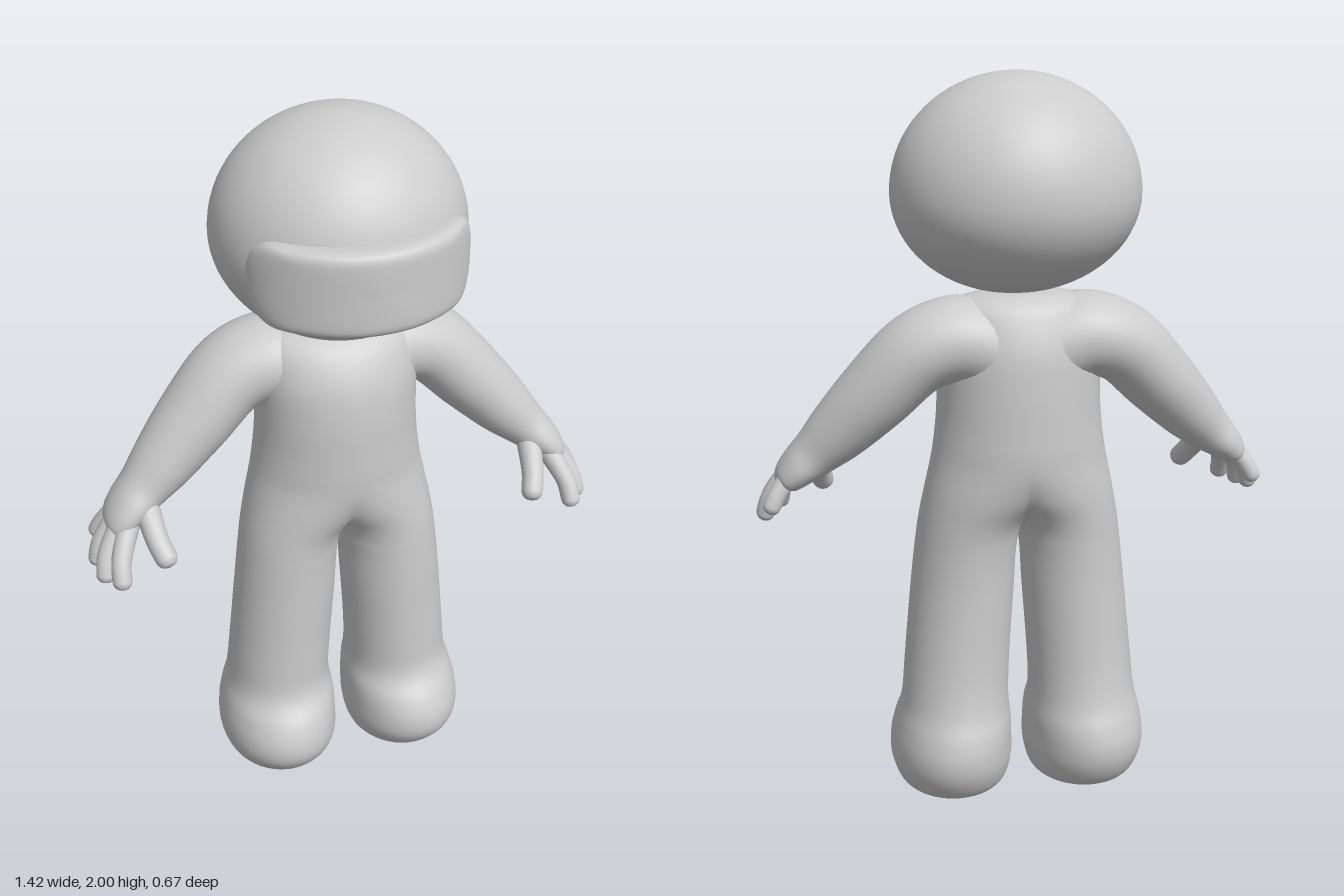
import * as THREE from 'three';

// Smooth surface from a (u, t) grid of points; t closes on itself or ends on the plane x = 0
function grid(nu, nt, point) {
  const pos = [], index = [], w = nt + 1;
  for (let i = 0; i <= nu; i++)
    for (let j = 0; j <= nt; j++) pos.push(...point(i / nu, j / nt));
  for (let i = 0; i < nu; i++)
    for (let j = 0; j < nt; j++) {
      const a = i * w + j, b = a + w;
      index.push(a, b, a + 1, b, b + 1, a + 1);
    }
  const g = new THREE.BufferGeometry();
  g.setAttribute('position', new THREE.Float32BufferAttribute(pos, 3));
  g.setIndex(index);
  g.computeVertexNormals();
  // Blend normals across the seam
  const p = g.attributes.position, n = g.attributes.normal;
  const A = new THREE.Vector3(), B = new THREE.Vector3();
  for (let i = 0; i <= nu; i++) {
    const a = i * w, b = a + nt;
    A.fromBufferAttribute(n, a);
    B.fromBufferAttribute(n, b);
    if (Math.abs(p.getZ(a) - p.getZ(b)) < 1e-4) {
      A.add(B).normalize();
      B.copy(A);
    } else {
      A.setX(0).normalize();
      B.setX(0).normalize();
    }
    n.setXYZ(a, A.x, A.y, A.z);
    n.setXYZ(b, B.x, B.y, B.z);
  }
  return g;
}

// Catmull-Rom interpolation of rows of numbers
function sample(rows, u) {
  const f = u * (rows.length - 1), i = Math.min(Math.floor(f), rows.length - 2), t = f - i;
  const at = k => rows[Math.max(0, Math.min(rows.length - 1, k))];
  return rows[0].map((_, c) => {
    const [p, q, r, s] = [at(i - 1)[c], at(i)[c], at(i + 1)[c], at(i + 2)[c]];
    return q + 0.5 * t * (r - p + t * (2 * p - 5 * q + 4 * r - s + t * (3 * (q - r) + s - p)));
  });
}

// Limb along a path; rows are x, y, z, thickness radius, width radius
function limb(rows, nu, nt) {
  const z = new THREE.Vector3(0, 0, 1);
  return grid(nu, nt, (u, v) => {
    const [x, y, cz, rn, rz] = sample(rows, u);
    const a = sample(rows, Math.max(0, u - 0.01)), b = sample(rows, Math.min(1, u + 0.01));
    const d = new THREE.Vector3(b[0] - a[0], b[1] - a[1], b[2] - a[2]).normalize();
    const s = z.clone().addScaledVector(d, -d.z).normalize();
    const n = d.clone().cross(s), t = v * Math.PI * 2;
    return new THREE.Vector3(x, y, cz)
      .addScaledVector(n, Math.max(rn, 0.0005) * Math.cos(t))
      .addScaledVector(s, Math.max(rz, 0.0005) * Math.sin(t)).toArray();
  });
}

function mirrored(geometry) {
  const g = geometry.clone(), p = g.attributes.position, n = g.attributes.normal, idx = g.index;
  for (let i = 0; i < p.count; i++) {
    p.setX(i, -p.getX(i));
    n.setX(i, -n.getX(i));
  }
  for (let i = 0; i < idx.count; i += 3) {
    const a = idx.getX(i);
    idx.setX(i, idx.getX(i + 1));
    idx.setX(i + 1, a);
  }
  return g;
}

export function createModel() {
  const model = new THREE.Group();
  model.name = 'figure';
  const grey = new THREE.MeshStandardMaterial({ color: 0xcccccc });
  grey.name = 'light grey';

  const add = (name, geometry) => {
    const mesh = new THREE.Mesh(geometry, grey);
    mesh.name = name;
    model.add(mesh);
  };
  const addPair = (name, geometry) => {
    add('left' + name, geometry);
    add('right' + name, mirrored(geometry));
  };

  // Half body from foot to neck: y, centre x, outer x, back z, front z
  const body = [
    [0, 0.19, 0.31, -0.14, 0.12], [0.03, 0.19, 0.343, -0.19, 0.165],
    [0.09, 0.193, 0.364, -0.228, 0.207], [0.15, 0.193, 0.364, -0.24, 0.212],
    [0.21, 0.188, 0.352, -0.23, 0.188], [0.28, 0.183, 0.334, -0.203, 0.138],
    [0.4, 0.175, 0.322, -0.185, 0.13], [0.6, 0.158, 0.302, -0.175, 0.13],
    [0.74, 0.145, 0.286, -0.177, 0.13], [0.82, 0.125, 0.274, -0.187, 0.132],
    [0.9, 0.07, 0.258, -0.21, 0.143], [1.0, 0, 0.237, -0.23, 0.155],
    [1.1, 0, 0.224, -0.23, 0.157], [1.2, 0, 0.22, -0.226, 0.155],
    [1.3, 0, 0.222, -0.215, 0.14], [1.38, 0, 0.212, -0.187, 0.1],
    [1.42, 0, 0.175, -0.16, 0.05], [1.44, 0, 0.1, -0.12, 0], [1.442, 0, 0.001, -0.061, -0.059],
  ];
  addPair('BodyHalf', grid(90, 48, (u, v) => {
    const [y, c, outer, back, front] = sample(body, u);
    const cx = Math.max(0, c), rx = Math.max(0.001, outer - cx);
    const open = Math.acos(-Math.min(1, cx / rx));
    const t = (v * 2 - 1) * open;
    return [cx + rx * Math.cos(t), Math.max(0, y),
      (back + front) / 2 + (front - back) / 2 * Math.sin(t)];
  }));

  // Flat soles
  const sole = new THREE.CircleGeometry(1, 48);
  sole.rotateX(Math.PI / 2).scale(0.12, 1, 0.13).translate(0.19, 0, -0.01);
  addPair('Sole', sole);

  // Arms ending in flattened palms
  addPair('Arm', limb([
    [0.09, 1.3, -0.06, 0.12, 0.14], [0.18, 1.32, -0.07, 0.115, 0.132],
    [0.28, 1.285, -0.068, 0.107, 0.124], [0.385, 1.18, -0.048, 0.1, 0.112],
    [0.48, 1.08, -0.024, 0.085, 0.092], [0.54, 1.02, -0.008, 0.068, 0.078],
    [0.585, 0.98, 0.005, 0.055, 0.083], [0.62, 0.945, 0.017, 0.042, 0.076],
    [0.64, 0.924, 0.02, 0.024, 0.05], [0.645, 0.918, 0.02, 0.001, 0.001],
  ], 60, 32));

  // Fingers: base, bend, tip, radius
  const fingers = {
    Thumb: [[0.545, 0.985, 0.04], [0.535, 0.925, 0.105], [0.52, 0.885, 0.145], 0.031],
    IndexFinger: [[0.595, 0.955, 0.055], [0.632, 0.885, 0.115], [0.64, 0.835, 0.147], 0.027],
    MiddleFinger: [[0.615, 0.95, 0.04], [0.662, 0.88, 0.075], [0.675, 0.83, 0.097], 0.027],
    RingFinger: [[0.62, 0.955, 0.015], [0.668, 0.89, 0.023], [0.685, 0.84, 0.03], 0.026],
    LittleFinger: [[0.61, 0.965, -0.015], [0.65, 0.915, -0.033], [0.67, 0.88, -0.042], 0.025],
  };
  for (const [name, [base, bend, tip, r]] of Object.entries(fingers)) {
    const dir = tip.map((c, k) => c - bend[k]), len = Math.hypot(...dir);
    const beyond = d => tip.map((c, k) => c + dir[k] / len * r * d);
    addPair(name, limb([
      [...base, r * 1.1, r * 1.1], [...bend, r, r], [...tip, r * 0.97, r * 0.97],
      [...beyond(0.5), r * 0.82, r * 0.82], [...beyond(0.8), r * 0.52, r * 0.52],
      [...beyond(0.92), 0.001, 0.001],
    ], 20, 16));
  }

  // Head, slightly flatter below its widest line
  add('head', grid(40, 64, (u, v) => {
    const lat = (u - 0.5) * Math.PI, t = v * Math.PI * 2;
    const c = Math.max(0.001, Math.cos(lat)), s = Math.sin(lat);
    return [0.004 + 0.328 * c * Math.cos(t), 1.695 + (s > 0 ? 0.305 : 0.268) * s,
      -0.022 + 0.312 * c * Math.sin(t) + (s < 0 ? 0.03 * s * s : 0)];
  }));

  // Visor: rounded rectangle wrapped round the front of the head; rows are spread, depth
  const visor = [[0.001, 1], [0.4, 1], [0.7, 0.998], [0.84, 0.99], [0.93, 0.972],
    [0.98, 0.94], [1, 0.89], [1, 0.78]];
  const halfW = 0.34, halfH = 0.112, corner = 0.095;
  const outline = new THREE.Shape();
  outline.moveTo(halfW, 0);
  outline.absarc(halfW - corner, halfH - corner, corner, 0, Math.PI / 2);
  outline.absarc(corner - halfW, halfH - corner, corner, Math.PI / 2, Math.PI);
  outline.absarc(corner - halfW, corner - halfH, corner, Math.PI, Math.PI * 1.5);
  outline.absarc(halfW - corner, corner - halfH, corner, Math.PI * 1.5, Math.PI * 2);
  outline.closePath();
  const rim = outline.getSpacedPoints(96);
  add('visor', grid(28, 96, (u, v) => {
    const [spread, depth] = sample(visor, u), p = rim[Math.round(v * 96) % 96];
    const a = p.x * spread / halfW * 1.13;
    return [0.008 + 0.335 * depth * Math.sin(a), 1.668 + p.y * spread,
      -0.02 + 0.354 * depth * Math.cos(a)];
  }));
  return model;
}
